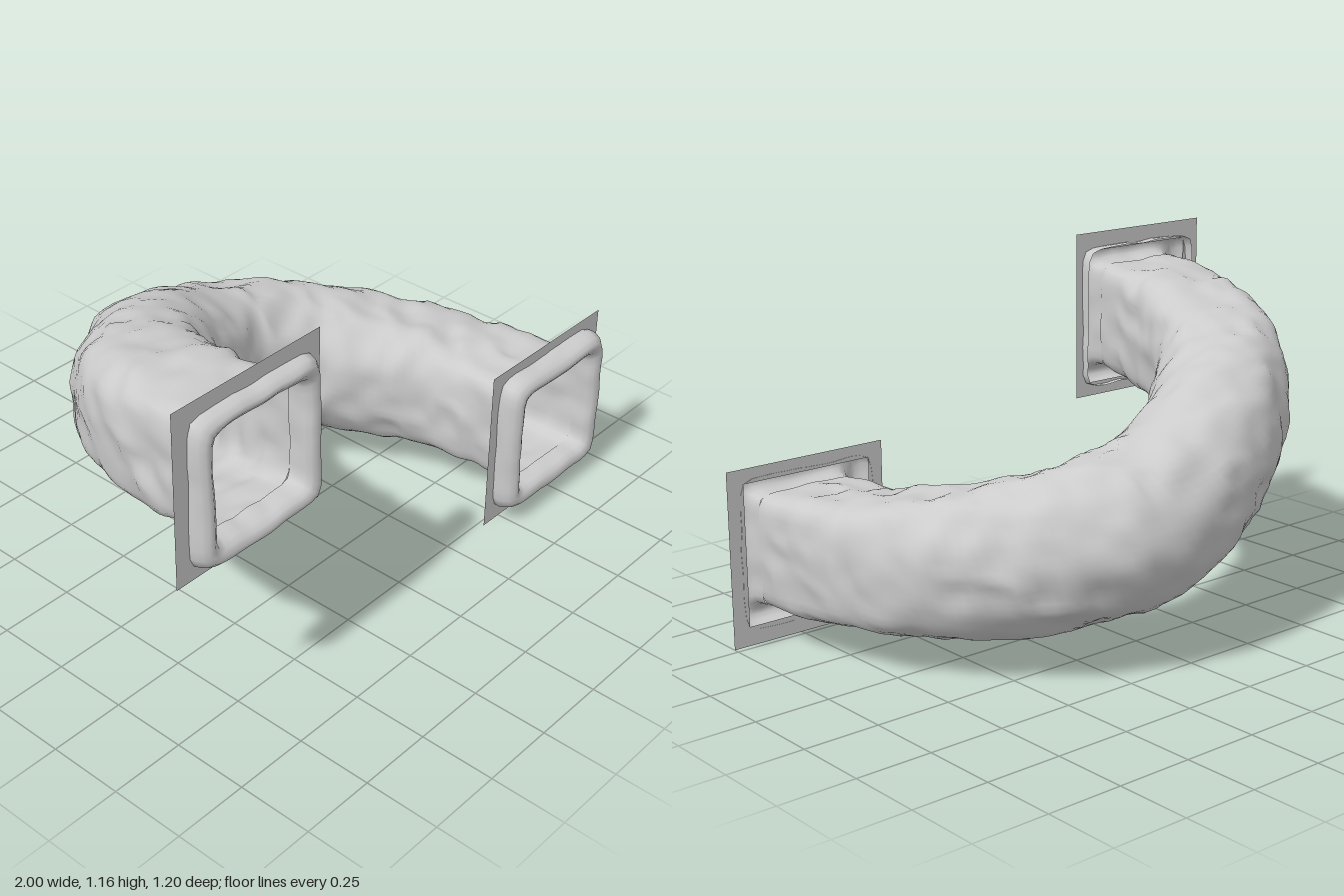
import * as THREE from 'three';

const SIDES = 64, STEPS = 100;
const material = new THREE.MeshStandardMaterial({ color: 0xcccccc, side: THREE.DoubleSide });

// Smooth repeatable 3D value noise in -1..1
function hash(x, y, z) {
  const s = Math.sin(x * 127.1 + y * 311.7 + z * 74.7) * 43758.5453;
  return (s - Math.floor(s)) * 2 - 1;
}
function noise(p, f) {
  const q = [p.x * f, p.y * f, p.z * f], i = q.map(Math.floor);
  const t = q.map((v, k) => { const d = v - i[k]; return d * d * (3 - 2 * d); });
  let sum = 0;
  for (let k = 0; k < 8; k++) {
    const o = [k & 1, (k >> 1) & 1, k >> 2];
    const w = o.reduce((a, b, n) => a * (b ? t[n] : 1 - t[n]), 1);
    sum += w * hash(i[0] + o[0], i[1] + o[1], i[2] + o[2]);
  }
  return sum;
}

// Rounded-square ring: power 2 is an ellipse, higher is squarer
function ring(center, side, up, halfWidth, halfHeight, power, rough) {
  const points = [];
  for (let j = 0; j < SIDES; j++) {
    const a = (j / SIDES) * Math.PI * 2, c = Math.cos(a), s = Math.sin(a);
    const r = Math.pow(Math.abs(c) ** power + Math.abs(s) ** power, -1 / power);
    const p = center.clone().addScaledVector(side, c * r * halfWidth).addScaledVector(up, s * r * halfHeight);
    // Soft lumps with sharp creases between them
    const bump = 0.6 * noise(p, 7) + 0.4 * noise(p, 16) + 0.9 * (0.28 - Math.abs(noise(p, 10)));
    p.addScaledVector(side, c * rough * bump).addScaledVector(up, s * rough * bump);
    points.push(p);
  }
  return points;
}

// Skin a list of rings with shared vertices
function loft(rings, name) {
  const index = [];
  for (let i = 0; i < rings.length - 1; i++) {
    for (let j = 0; j < SIDES; j++) {
      const k = (j + 1) % SIDES;
      const a = i * SIDES + j, b = i * SIDES + k, c = a + SIDES, d = b + SIDES;
      index.push(a, c, b, b, c, d);
    }
  }
  const geometry = new THREE.BufferGeometry().setFromPoints(rings.flat());
  geometry.setIndex(index);
  geometry.computeVertexNormals();
  const mesh = new THREE.Mesh(geometry, material);
  mesh.name = name;
  return mesh;
}

function square(shape, x, y, half) {
  shape.moveTo(x - half, y - half);
  shape.lineTo(x + half, y - half);
  shape.lineTo(x + half, y + half);
  shape.lineTo(x - half, y + half);
  shape.closePath();
  return shape;
}

// Thin wall plate with a hole, and the rolled, slightly tilted rim that fills it
function mouth(name, x, y, z, depth, tilt, plateX, plateY, plateZ) {
  const group = new THREE.Group();
  group.name = name;
  const shape = square(new THREE.Shape(), plateX, plateY, 0.29);
  shape.holes.push(square(new THREE.Path(), x, y, 0.234));
  const plate = new THREE.Mesh(new THREE.ShapeGeometry(shape), material);
  plate.name = 'wallPlate';
  plate.position.z = plateZ;

  const X = new THREE.Vector3(1, 0, 0), Y = new THREE.Vector3(0, 1, -tilt);
  // Half width and fraction of the depth, from the tunnel out and back
  const profile = [
    [0.184, 0], [0.184, 0.33], [0.188, 0.66], [0.197, 0.88], [0.212, 1],
    [0.228, 0.97], [0.241, 0.78], [0.247, 0.52], [0.25, 0.24], [0.248, 0],
  ];
  const rings = profile.map(([half, f]) =>
    ring(new THREE.Vector3(x, y, z + f * depth), X, Y, half, half, 11, 0.008));
  group.add(plate, loft(rings, 'rolledRim'));
  return group;
}

export function createModel() {
  const model = new THREE.Group();

  // Centre line sweeping down around the half turn
  const path = new THREE.CatmullRomCurve3([
    [-0.695, 0.86, 0.49], [-0.685, 0.842, 0.33], [-0.63, 0.79, 0.1], [-0.54, 0.733, -0.07],
    [-0.36, 0.645, -0.238], [-0.1, 0.522, -0.352], [0.08, 0.45, -0.37], [0.265, 0.405, -0.315],
    [0.42, 0.367, -0.205], [0.547, 0.336, -0.045], [0.645, 0.317, 0.15], [0.692, 0.304, 0.36],
    [0.705, 0.297, 0.525],
  ].map((p) => new THREE.Vector3(...p)));

  // Rough tunnel, square at the ends, rounder and taller in the bend
  const rings = [];
  for (let i = 0; i <= STEPS; i++) {
    const t = i / STEPS, bend = Math.sin(Math.PI * t);
    const end = Math.min(1, Math.min(t, 1 - t) / 0.06);
    const tangent = path.getTangentAt(t);
    tangent.lerp(new THREE.Vector3(0, 0, t < 0.5 ? -1 : 1), 1 - end).normalize();
    const side = tangent.clone().cross(new THREE.Vector3(0, 1, 0)).normalize();
    const up = side.clone().cross(tangent);
    const power = 2.1 + 5 * (1 - bend) ** 2;
    rings.push(ring(path.getPointAt(t), side, up,
      0.186 + 0.04 * bend, 0.189 + 0.066 * bend ** 1.5, power, 0.008 + 0.01 * end));
  }
  model.add(loft(rings, 'tunnel'));

  // Upper and lower openings
  model.add(mouth('upperMouth', -0.697, 0.862, 0.487, 0.085, 0.03, -0.71, 0.87, 0.517));
  model.add(mouth('lowerMouth', 0.707, 0.297, 0.519, 0.076, 0, 0.71, 0.29, 0.52));
  return model;
}
